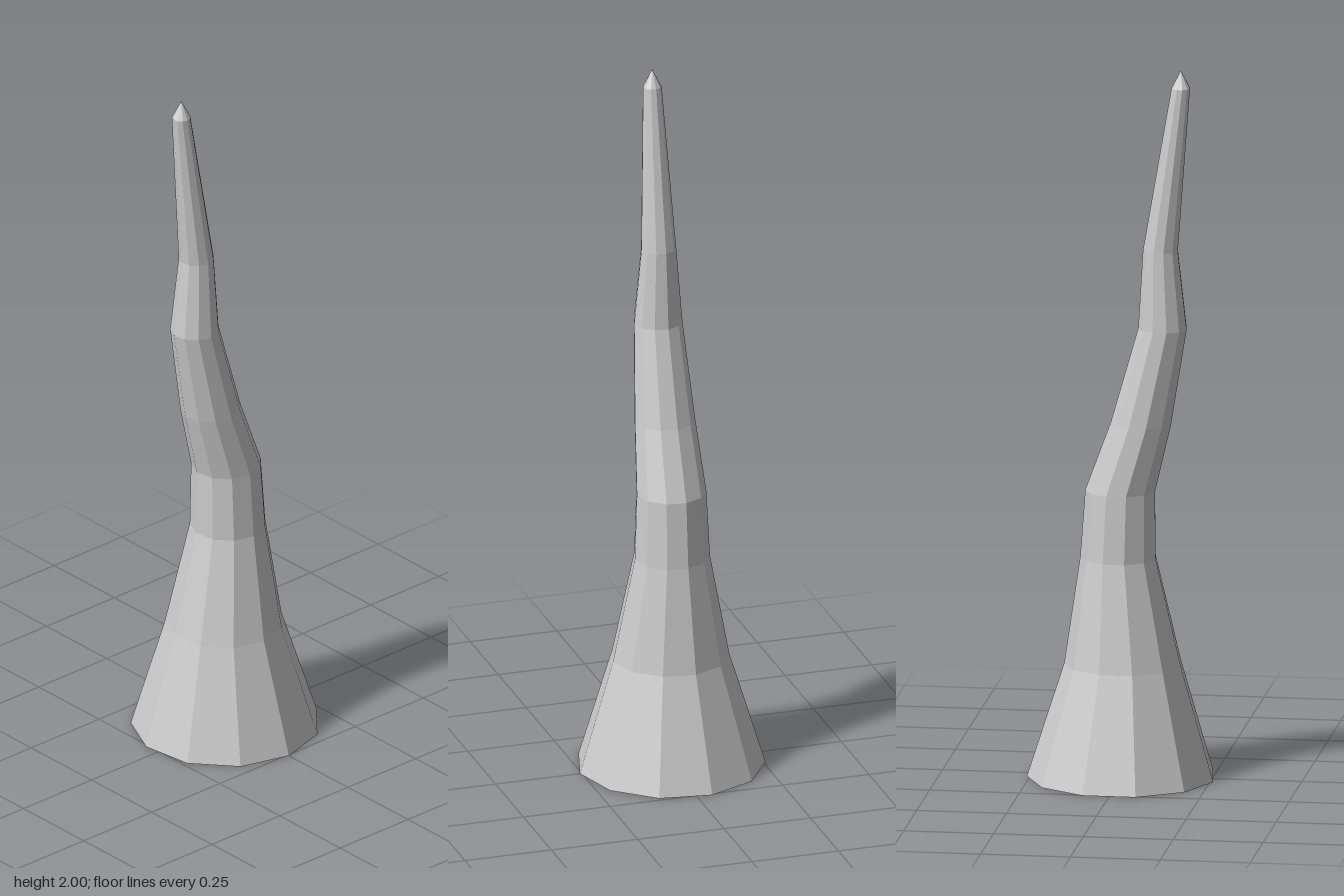
import * as THREE from 'three';

// Rings from base to tip: height, radius, forward offset of the centre
const RINGS = [
  [0, 0.262, 0],
  [0.32, 0.164, 0.005],
  [0.62, 0.106, -0.009],
  [0.81, 0.098, -0.003],
  [1.0, 0.085, 0.054],
  [1.27, 0.068, 0.114],
  [1.49, 0.049, 0.108],
  [1.95, 0.026, 0.164],
  [2.0, 0, 0.164],
];
const SIDES = 11;

export function createModel() {
  const group = new THREE.Group();
  group.name = 'crookedSpike';

  // Turned profile, open at the base, with one corner facing +x
  const profile = RINGS.map(([y, r]) => new THREE.Vector2(r, y));
  const geometry = new THREE.LatheGeometry(profile, SIDES, Math.PI / 2);

  // Slide each ring forward or back to bend the spike
  const pos = geometry.attributes.position;
  for (let i = 0; i < pos.count; i++) {
    pos.setX(i, pos.getX(i) - 0.006);
    pos.setZ(i, pos.getZ(i) + RINGS[i % RINGS.length][2]);
  }
  const faceted = geometry.toNonIndexed();
  faceted.computeVertexNormals();

  const spike = new THREE.Mesh(faceted, new THREE.MeshStandardMaterial({
    color: 0xcccccc, flatShading: true, side: THREE.DoubleSide,
  }));
  spike.name = 'spike';
  group.add(spike);
  return group;
}
